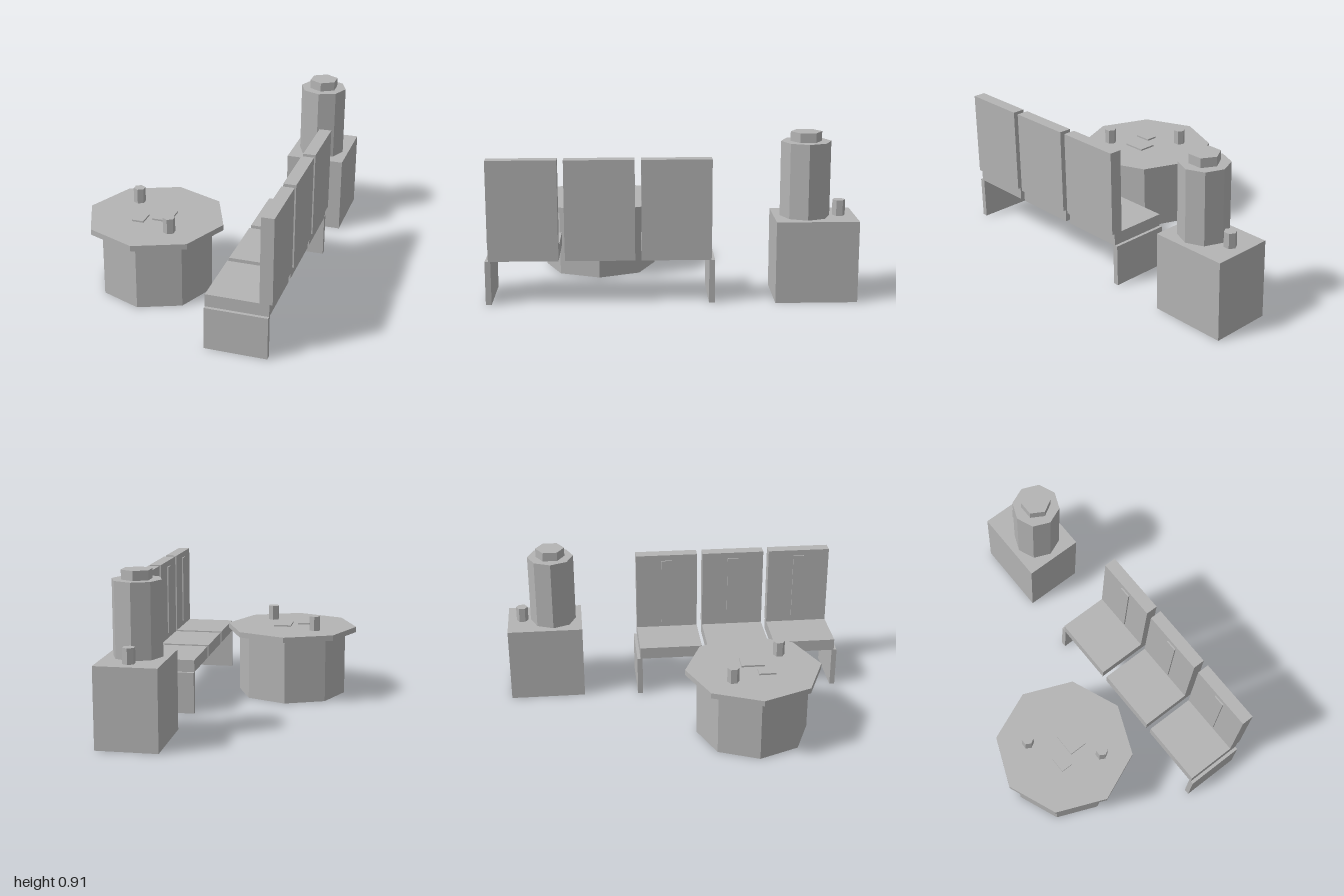
import * as THREE from 'three';

const grey = new THREE.MeshStandardMaterial({ color: 0xb4b4b4, flatShading: true });
grey.name = 'grey';

// Box given by its min and max corners
function box(name, [x0, y0, z0], [x1, y1, z1]) {
  const geometry = new THREE.BoxGeometry(x1 - x0, y1 - y0, z1 - z0);
  geometry.translate((x0 + x1) / 2, (y0 + y1) / 2, (z0 + z1) / 2);
  const mesh = new THREE.Mesh(geometry, grey);
  mesh.name = name;
  return mesh;
}

// Upright prism with a corner pointing to +z
function prism(name, sides, radius, x, z, y0, y1) {
  const geometry = new THREE.CylinderGeometry(radius, radius, y1 - y0, sides);
  const mesh = new THREE.Mesh(geometry, grey);
  mesh.position.set(x, (y0 + y1) / 2, z);
  mesh.name = name;
  return mesh;
}

function createTable() {
  const table = new THREE.Group();
  table.name = 'table';
  const top = 0.412;
  table.add(
    prism('tableBase', 8, 0.325, -0.224, 0.402, 0, 0.38),
    prism('tableTop', 8, 0.392, -0.224, 0.402, 0.38, top),
    // Things lying on the table
    prism('cupBack', 6, 0.034, -0.379, 0.263, top, 0.498),
    prism('cupFront', 6, 0.034, -0.087, 0.57, top, 0.498),
    box('smallBook', [-0.327, top, 0.418], [-0.259, 0.4215, 0.516]),
    box('largeBook', [-0.225, top, 0.333], [-0.122, 0.4215, 0.467])
  );
  return table;
}

function createBench() {
  const bench = new THREE.Group();
  bench.name = 'bench';
  const middle = 0.385, pitch = 0.409, half = 0.1875;
  for (let i = -1; i <= 1; i++) {
    const z = middle + i * pitch;
    const seat = new THREE.Group();
    seat.name = 'seat';
    seat.add(
      box('cushion', [0.256, 0.24, z - half], [0.597, 0.31, z + half]),
      box('backrest', [0.545, 0.31, z - half], [0.614, 0.79, z + half]),
      box('backStrip', [0.537, 0.343, z - 0.033], [0.545, 0.755, z + 0.033])
    );
    bench.add(seat);
  }
  // End panels carrying the row of seats
  bench.add(
    box('leftLeg', [0.256, 0, 0.969], [0.597, 0.24, 1]),
    box('rightLeg', [0.256, 0, -0.23], [0.597, 0.24, -0.199])
  );
  return bench;
}

function createDispenser() {
  const dispenser = new THREE.Group();
  dispenser.name = 'dispenser';
  dispenser.add(
    box('cabinet', [0.273, 0, -1], [0.614, 0.447, -0.556]),
    prism('tank', 8, 0.136, 0.444, -0.727, 0.447, 0.857),
    prism('tankCap', 6, 0.085, 0.444, -0.727, 0.857, 0.909),
    prism('cup', 6, 0.035, 0.444, -0.913, 0.447, 0.533)
  );
  return dispenser;
}

export function createModel() {
  const model = new THREE.Group();
  model.name = 'waitingArea';
  model.add(createTable(), createBench(), createDispenser());
  return model;
}
